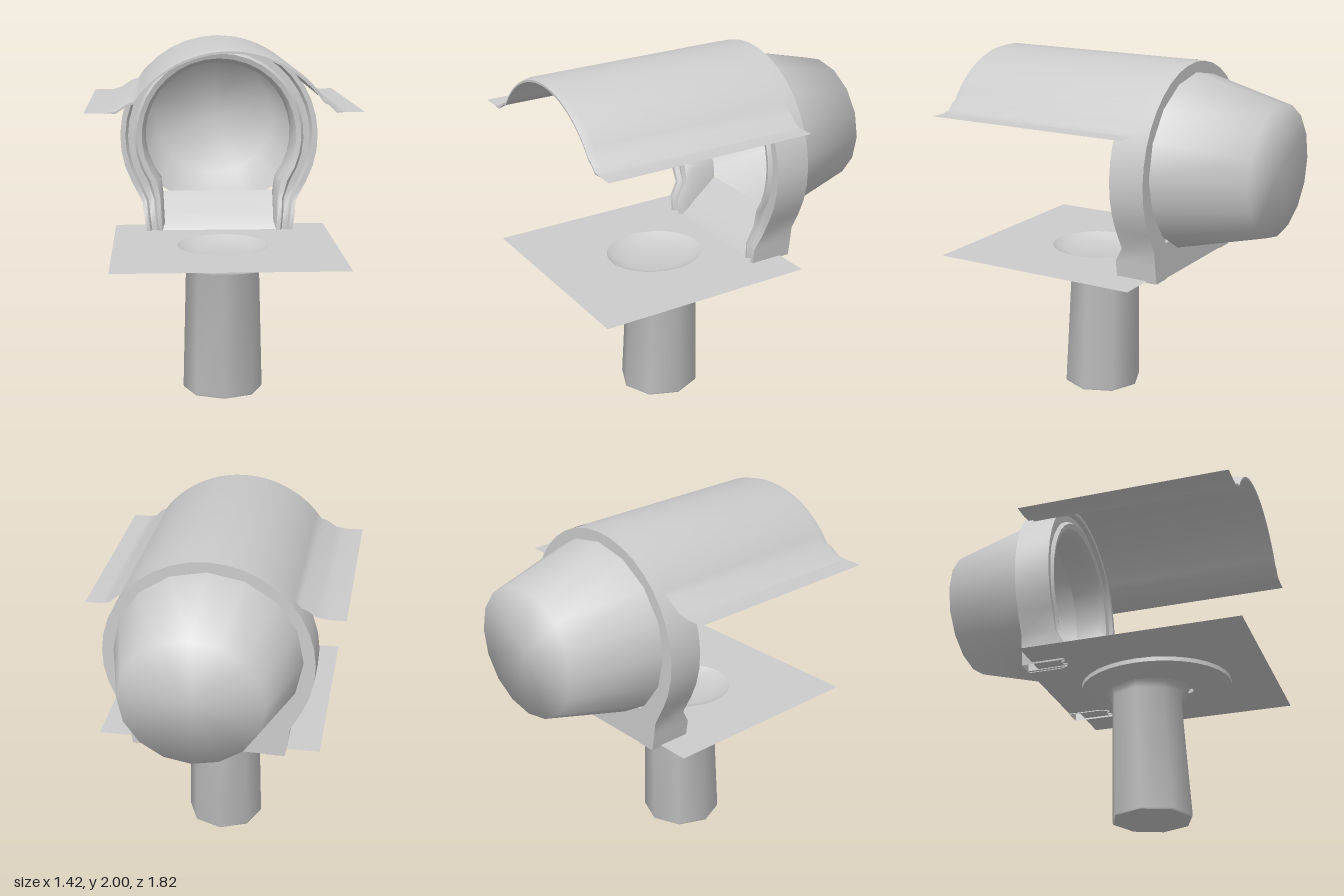
import * as THREE from 'three';
import { toCreasedNormals } from 'three/addons/utils/BufferGeometryUtils.js';

const CX = 0.025; // axis of the arch and pedestal
const material = new THREE.MeshStandardMaterial({ color: 0xcccccc, side: THREE.DoubleSide });

// Surface through rows of points; every row has the same length.
function loft(rows, crease = 0.6) {
  const n = rows[0].length, index = [];
  for (let r = 0; r < rows.length - 1; r++) {
    for (let i = 0; i < n - 1; i++) {
      const a = r * n + i, b = a + 1, c = a + n, d = c + 1;
      index.push(a, c, b, b, c, d);
    }
  }
  const g = new THREE.BufferGeometry();
  g.setAttribute('position', new THREE.Float32BufferAttribute(rows.flat(2), 3));
  g.setIndex(index);
  return toCreasedNormals(g, crease);
}

// Stack of ellipses [y, centre z, radius x, radius z], listed downwards.
function rings(list, sides, crease) {
  return loft(list.map(([y, cz, rx, rz]) => {
    const row = [];
    for (let i = 0; i <= sides; i++) {
      const a = (i % sides) / sides * Math.PI * 2;
      row.push([CX + Math.sin(a) * rx, y, cz + Math.cos(a) * rz]);
    }
    return row;
  }), crease);
}

// Horseshoe outline: half is [dx, y] from foot upwards, then an arc of radius r.
function horseshoe(half, r) {
  const cy = 1.41, start = Math.asin(-0.27 / r), steps = 24;
  const pts = half.map(([dx, y]) => [CX + dx, y]);
  for (let i = 0; i <= steps; i++) {
    const a = start + (Math.PI - 2 * start) * i / steps;
    pts.push([CX + r * Math.cos(a), cy + r * Math.sin(a)]);
  }
  return pts.concat(half.slice().reverse().map(([dx, y]) => [CX - dx, y]));
}

export function createModel() {
  const group = new THREE.Group();
  const add = (name, geometry) => {
    const mesh = new THREE.Mesh(geometry, material);
    mesh.name = name;
    group.add(mesh);
    return mesh;
  };

  // Moulded horseshoe collar; its feet stand slightly forward
  const outer = horseshoe([[0.435, 0.84], [0.45, 0.94], [0.46, 1.02]], 0.588);
  const inner = horseshoe([[0.325, 0.84], [0.33, 0.94], [0.335, 1.04]], 0.44);
  const moulding = [[0, -0.4], [0, -0.195], [0.2, -0.195], [0.3, -0.22], [0.55, -0.22],
    [0.65, -0.2], [0.85, -0.21], [1, -0.25], [1, -0.4], [0, -0.4]];
  const last = outer.length - 1;
  add('archCollar', loft(moulding.map(([t, z]) => outer.map(([x, y], i) => {
    const foot = i < 2 || i > last - 2;
    return [x + (inner[i][0] - x) * t, y + (inner[i][1] - y) * t, z + (foot && z > -0.3 ? 0.045 : 0)];
  }))));

  // Tapering shell behind the collar, closed at the back
  const shell = new THREE.LatheGeometry(
    [[0, -0.91], [0.365, -0.91], [0.495, -0.4]].map(([r, z]) => new THREE.Vector2(r, z)), 16);
  shell.rotateX(Math.PI / 2);
  shell.scale(1.055, 1, 1);
  add('rearShell', shell).position.set(CX, 1.445, 0);

  // Sloping sill between the collar's feet
  const sillShape = new THREE.Shape([[0.165, 0.845], [0.19, 0.875], [0.25, 0.93], [0.4, 1.05], [0.4, 0.845]]
    .map(([z, y]) => new THREE.Vector2(z, y)));
  const sill = new THREE.ExtrudeGeometry(sillShape, { depth: 0.68, bevelEnabled: false });
  sill.rotateY(Math.PI / 2);
  sill.translate(CX - 0.34, 0, 0);
  add('sill', toCreasedNormals(sill.scale(1, 1, 1), 0.7));

  // Curved canopy with flat side flanges and a slightly lowered front lip
  const canopyProfile = [[-0.71, 1.68], [-0.61, 1.68], [-0.55, 1.7], [-0.49, 1.74]];
  for (let i = 0; i <= 24; i++) {
    const a = (145 - 110 * i / 24) * Math.PI / 180;
    canopyProfile.push([CX + 0.588 * Math.cos(a), 1.412 + 0.588 * Math.sin(a)]);
  }
  canopyProfile.push([0.53, 1.74], [0.57, 1.7], [0.62, 1.68], [0.71, 1.68]);
  const canopyRow = (z, drop, lift = 0) => canopyProfile.map(([x, y]) => [x, y - (y > 1.69 ? drop : 0) + lift, z]);
  add('canopy', loft([canopyRow(-0.33, 0), canopyRow(0.86, 0), canopyRow(0.9, 0.012),
    canopyRow(0.9, 0.024), canopyRow(0.86, 0.012, 0.002), canopyRow(-0.33, 0.012, 0.002)], 0.8));

  // Thin square plate with an oval opening
  const plateShape = new THREE.Shape([[-0.6, -0.91], [0.67, -0.91], [0.67, 0.34], [-0.6, 0.34]]
    .map(([x, y]) => new THREE.Vector2(x, y)));
  const opening = new THREE.Path();
  opening.absellipse(CX, -0.24, 0.26, 0.28, 0, Math.PI * 2, true);
  plateShape.holes.push(opening);
  const plate = new THREE.ShapeGeometry(plateShape, 16);
  plate.rotateX(-Math.PI / 2);
  add('floorPlate', plate).position.y = 0.85;

  // Shallow basin and broad flange under the plate
  add('basin', rings([[0.85, 0.24, 0.26, 0.28], [0.825, 0.245, 0.22, 0.24],
    [0.81, 0.25, 0.16, 0.17], [0.805, 0.25, 0, 0]].reverse(), 32, 0.9));
  add('flange', rings([[0.85, 0.24, 0.26, 0.28], [0.825, 0.25, 0.25, 0.27], [0.825, 0.255, 0.35, 0.4],
    [0.81, 0.255, 0.382, 0.436], [0.785, 0.255, 0.382, 0.436], [0.77, 0.25, 0.3, 0.34],
    [0.757, 0.22, 0.225, 0.25]], 32, 0.9));

  // Eight-sided pedestal with a sloping front and closed foot
  add('pedestal', rings([[0.775, 0.2, 0.25, 0.26], [0.755, 0.2, 0.225, 0.225], [0.72, 0.195, 0.21, 0.205],
    [0.01, 0.22, 0.228, 0.23], [0, 0.22, 0.224, 0.226], [0, 0.22, 0, 0]], 8, 1));

  return group;
}
